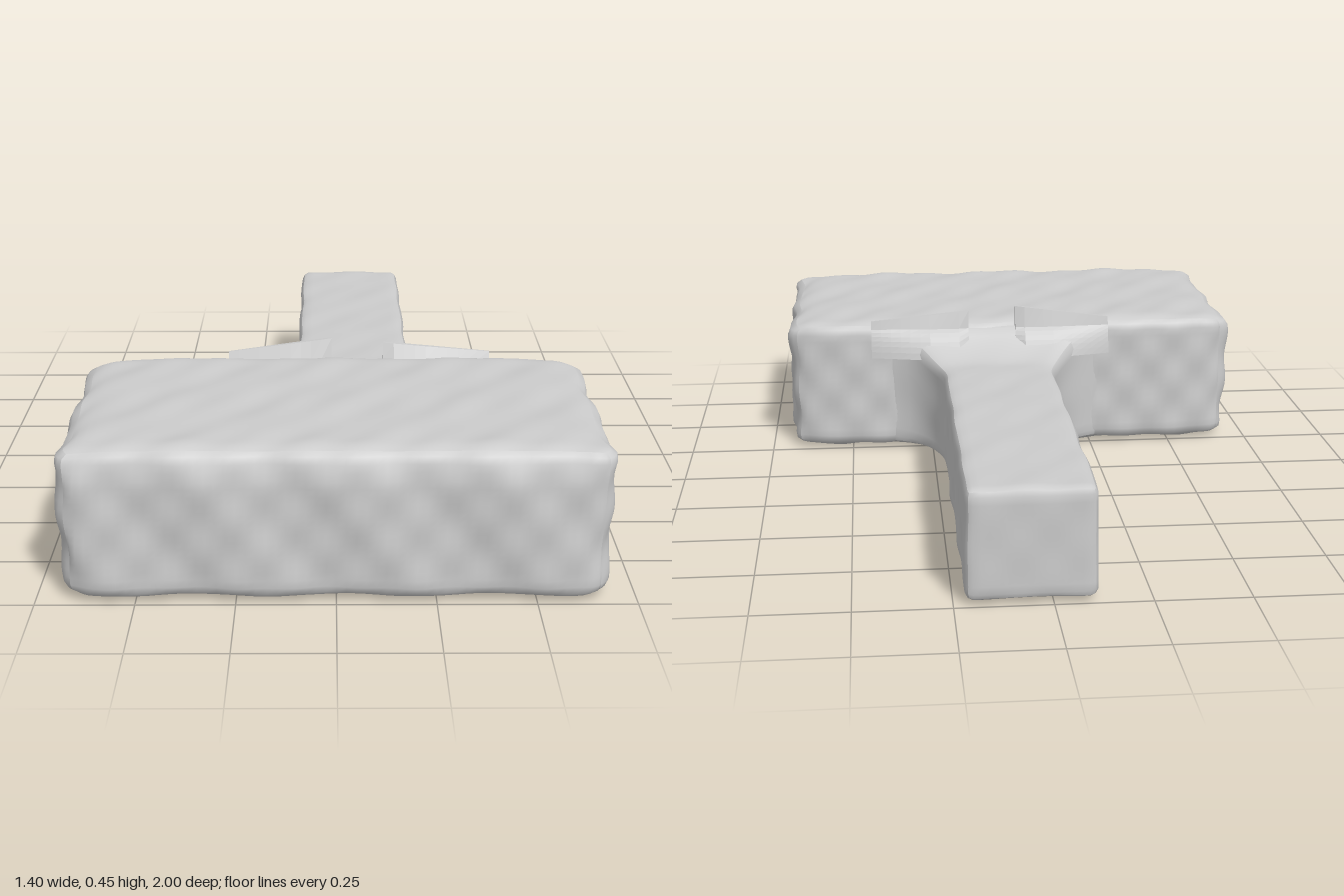
import * as THREE from 'three';

const material = new THREE.MeshStandardMaterial({ color: 0xcccccc, side: THREE.DoubleSide });

// Gentle hand-hewn unevenness
const rough = (a, b, c) =>
  Math.sin(a * 17 + b * 9) * Math.sin(c * 19 + 1) + 0.6 * Math.sin(a * 41 + c * 23) * Math.sin(b * 37 + c * 11);

// Subdivided block from min to max, edges rounded by radii, then bent by a warp rule
function roundedBlock(name, min, max, radii, segments, roughness, warp) {
  const size = max.clone().sub(min);
  const centre = min.clone().add(max).multiplyScalar(0.5);
  const geometry = new THREE.BoxGeometry(size.x, size.y, size.z, ...segments);
  const innerMax = size.clone().multiplyScalar(0.5).sub(radii);
  const innerMin = innerMax.clone().negate();
  const pos = geometry.attributes.position;
  const p = new THREE.Vector3();
  for (let i = 0; i < pos.count; i++) {
    p.fromBufferAttribute(pos, i);
    const core = p.clone().clamp(innerMin, innerMax);
    const n = p.clone().sub(core).divide(radii).normalize();
    const bump = 1 + roughness * (rough(p.x, p.y, p.z) - 1);
    p.copy(core).addScaledVector(n.clone().multiply(radii), bump).add(centre);
    if (warp) warp(p);
    pos.setXYZ(i, p.x, p.y, p.z);
  }
  geometry.computeVertexNormals();
  const mesh = new THREE.Mesh(geometry, material);
  mesh.name = name;
  return mesh;
}

// Thin upturned lip where the handle meets the head, tapering away from the handle
function lip(name, inner, outer, innerTop, outerTop) {
  const profile = new THREE.Shape();
  profile.moveTo(0.17, 0.3);
  profile.quadraticCurveTo(0.185, 0.36, 0.222, 0.385);
  profile.lineTo(0.235, 0.45);
  profile.lineTo(0.247, 0.45);
  profile.lineTo(0.268, 0.395);
  profile.lineTo(0.25, 0.36);
  profile.lineTo(0.2, 0.3);
  profile.closePath();
  const width = Math.abs(outer - inner);
  const geometry = new THREE.ExtrudeGeometry(profile, { depth: width, steps: 10, bevelEnabled: false, curveSegments: 6 });
  geometry.rotateY(-Math.PI / 2).translate(Math.max(inner, outer), 0, 0);
  const pos = geometry.attributes.position;
  for (let i = 0; i < pos.count; i++) {
    const t = Math.abs(pos.getX(i) - inner) / width;
    const top = THREE.MathUtils.lerp(innerTop, outerTop, t);
    const y = pos.getY(i), z = pos.getZ(i);
    if (y > 0.39) pos.setY(i, 0.39 + (y - 0.39) * (top - 0.39) / 0.06);
    // Rounded inner end and narrowing outer end in plan
    const pinch = t < 0.1 ? 0.3 * (1 - t / 0.1) : 0.6 * Math.max(0, t - 0.4) / 0.6;
    pos.setZ(i, z + (0.24 - z) * pinch);
  }
  geometry.computeVertexNormals();
  const mesh = new THREE.Mesh(geometry, material);
  mesh.name = name;
  return mesh;
}

export function createModel() {
  const group = new THREE.Group();
  group.name = 'hammer';
  const V = (x, y, z) => new THREE.Vector3(x, y, z);

  // Heavy block head, with its rear corners slightly cut back
  group.add(roundedBlock('head', V(-0.695, 0, 0.23), V(0.695, 0.405, 1), V(0.09, 0.035, 0.07), [56, 20, 36], 0.1, (p) => {
    const corner = Math.max(0, Math.abs(p.x) - 0.5) / 0.2;
    const back = Math.max(0, 0.4 - p.z) / 0.17;
    p.z += 0.025 * corner * back;
    // Worn upper edge at the front and ends
    const wear = Math.max(0, p.y - 0.32) / 0.08;
    p.z -= 0.018 * wear * Math.max(0, p.z - 0.85) / 0.15;
    p.y -= 0.012 * wear * corner * corner;
  }));

  // Square handle, flaring sideways and upwards into the head
  const axis = 0.055, half = 0.168;
  group.add(roundedBlock('handle', V(axis - half, 0.008, -1), V(axis + half, 0.305, 0.33), V(0.03, 0.025, 0.025), [16, 14, 70], 0.08, (p) => {
    const t = THREE.MathUtils.clamp(p.z / 0.245, 0, 1);
    p.x += (p.x - axis) / half * 0.2 * (1 - Math.sqrt(1 - t * t));
    const rise = THREE.MathUtils.clamp((p.z - 0.08) / 0.16, 0, 1);
    p.y += 0.085 * rise * rise * p.y / 0.305;
  }));

  // Pair of lips over the joint
  group.add(lip('rightLip', -0.01, -0.3, 0.45, 0.41));
  group.add(lip('leftLip', 0.135, 0.435, 0.437, 0.41));
  return group;
}
